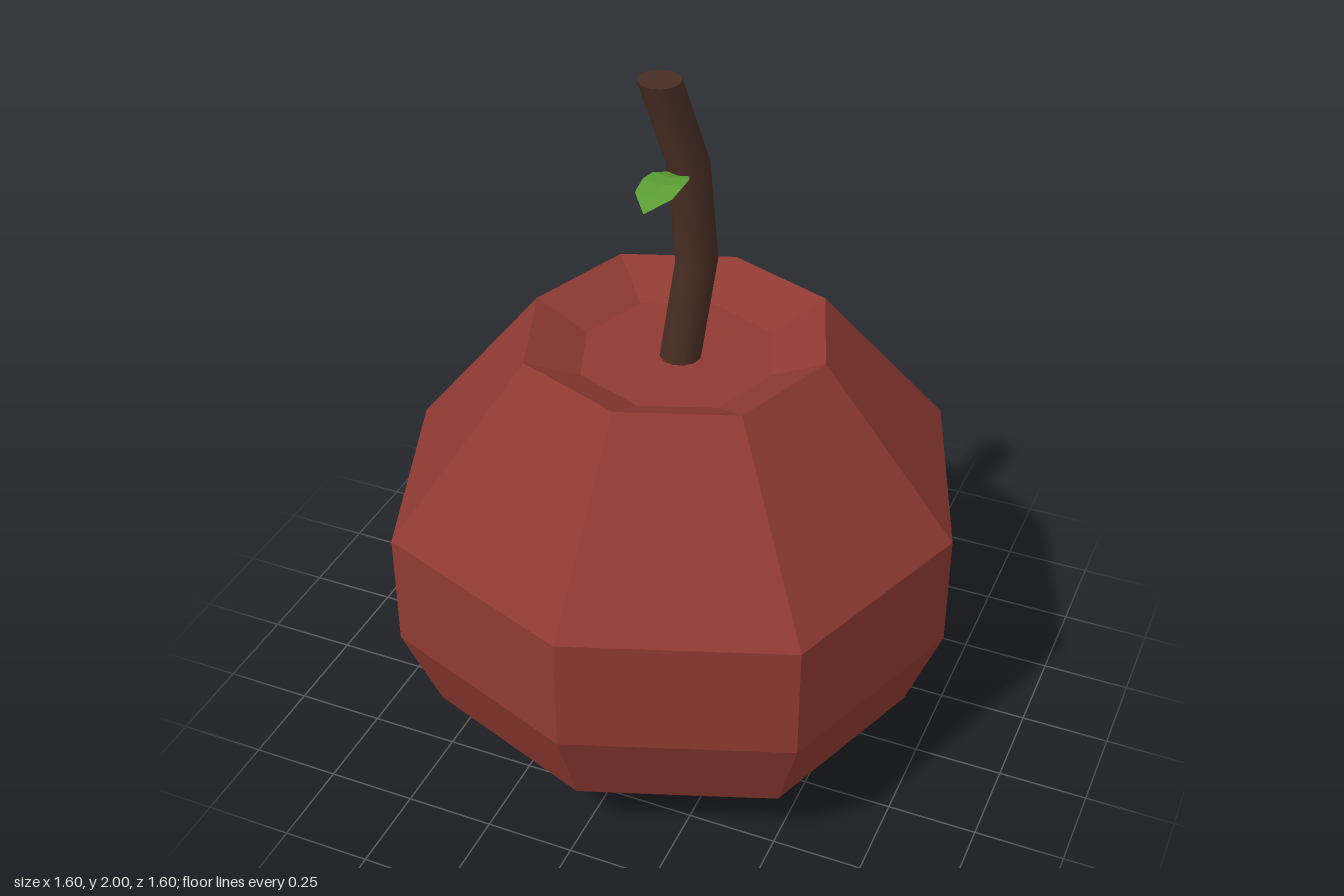
import * as THREE from 'three';

const material = (name, color, extra = {}) => {
  const m = new THREE.MeshStandardMaterial({ color, ...extra });
  m.name = name;
  return m;
};

// Skin a list of equal-length rings (counter-clockwise from above, listed upwards)
function loft(rings, capEnds) {
  const n = rings[0].length, index = [], pos = rings.flat(2);
  for (let r = 0; r < rings.length - 1; r++) {
    for (let i = 0; i < n; i++) {
      const a = r * n + i, b = r * n + (i + 1) % n;
      index.push(a, b, a + n, b, b + n, a + n);
    }
  }
  if (capEnds) {
    const last = (rings.length - 1) * n;
    for (let i = 1; i < n - 1; i++) index.push(0, i + 1, i, last, last + i, last + i + 1);
  }
  const g = new THREE.BufferGeometry();
  g.setAttribute('position', new THREE.Float32BufferAttribute(pos, 3));
  g.setIndex(index);
  return g;
}

const ring = (n, y, radius, cx = 0, cz = 0) => Array.from({ length: n }, (_, i) => {
  const a = -i / n * Math.PI * 2;
  const r = typeof radius === 'function' ? radius(i) : radius;
  return [cx + Math.cos(a) * r, y, cz + Math.sin(a) * r];
});

export function createModel() {
  const group = new THREE.Group();
  const add = (name, geometry, mat) => {
    const mesh = new THREE.Mesh(geometry, mat);
    mesh.name = name;
    group.add(mesh);
  };

  const skin = material('red skin', 0x8f3a32);
  const bark = material('brown bark', 0x482d23);
  const green = material('leaf green', 0x5c9e33, { side: THREE.DoubleSide });

  // Eight-sided body with slightly fuller diagonals and a sunken top
  const profile = [[0.51, 0], [0.7, 0.18], [0.8, 0.44], [0.8, 0.775], [0.42, 1.25], [0.27, 1.175]];
  const body = loft(profile.map(([r, y]) => ring(8, y, i => r * (i % 2 ? 1.035 : 1))), true).toNonIndexed();
  body.computeVertexNormals();
  add('body', body, skin);

  // Bent stem: smooth sides, flat end
  const bends = [[0.005, 1.15, 0.003], [0.04, 1.46, -0.032], [0.022, 1.75, -0.015], [-0.028, 2, 0.05]];
  const stem = loft(bends.map(([x, y, z]) => ring(12, y, 0.057, x, z)), false);
  stem.computeVertexNormals();
  add('stem', stem, bark);
  const end = new THREE.CircleGeometry(0.057, 12).rotateX(-Math.PI / 2).translate(-0.028, 2, 0.05);
  add('stemEnd', end, bark);

  // Arched leaf with a shallow fold: rows of [z, half width, height]
  const rows = [[0.03, 0.03, 1.735], [0.08, 0.05, 1.752], [0.13, 0.055, 1.757], [0.19, 0.05, 1.75], [0.25, 0.001, 1.735]];
  const pos = [], index = [];
  rows.forEach(([z, w, y], r) => {
    pos.push(0.015 - w, y + w * 0.1, z, 0.015, y, z, 0.015 + w, y + w * 0.1, z);
    if (r) for (let i = 0; i < 2; i++) {
      const a = (r - 1) * 3 + i;
      index.push(a, a + 3, a + 1, a + 1, a + 3, a + 4);
    }
  });
  const sheet = new THREE.BufferGeometry();
  sheet.setAttribute('position', new THREE.Float32BufferAttribute(pos, 3));
  sheet.setIndex(index);
  const leaf = sheet.toNonIndexed();
  leaf.computeVertexNormals();
  add('leaf', leaf, green);

  return group;
}
